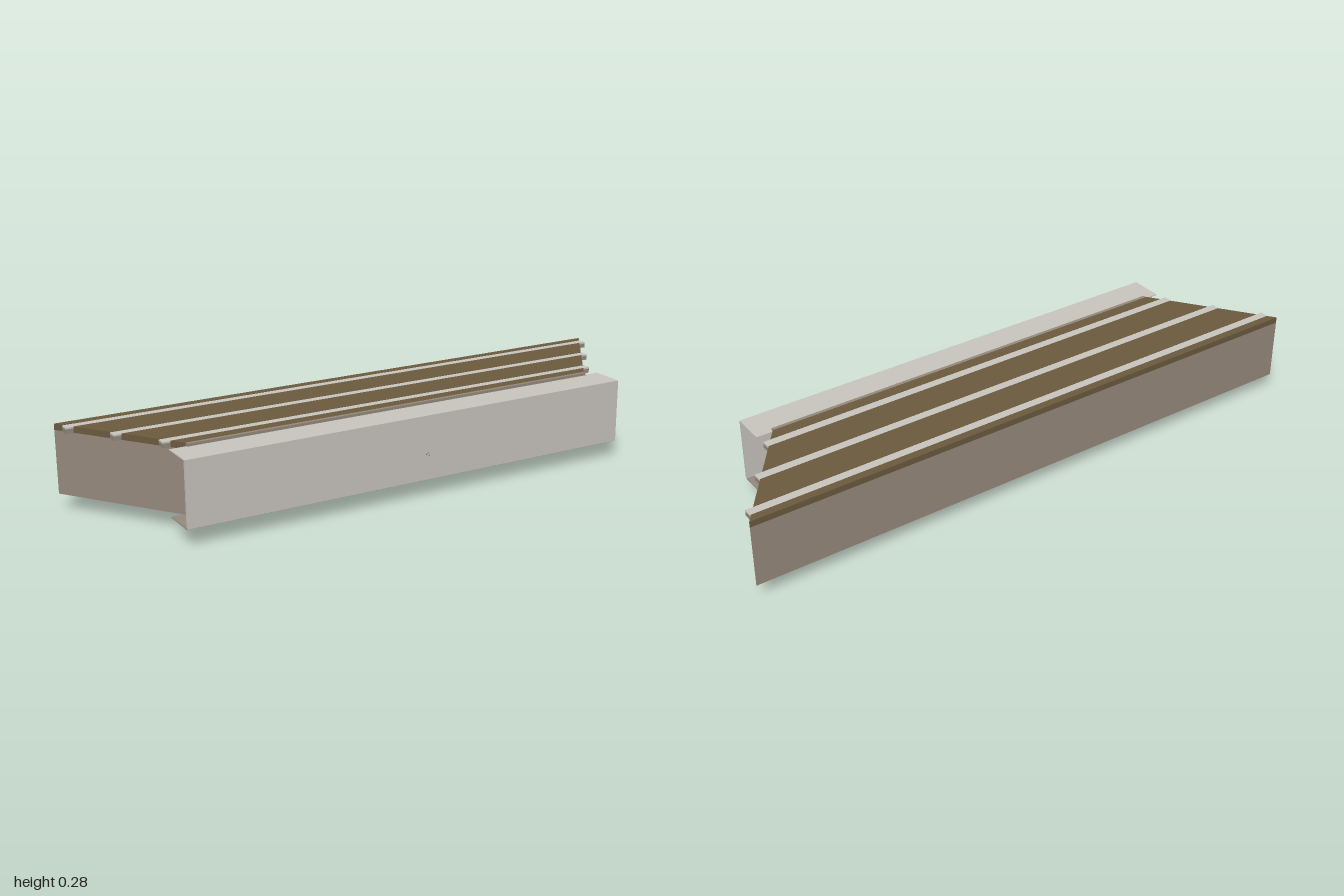
import * as THREE from 'three';

const mat = (name, color, side = THREE.FrontSide) => {
  const m = new THREE.MeshStandardMaterial({ color, side });
  m.name = name;
  return m;
};

// half width of the tapered body at depth z
const BACK = -0.247, FRONT = 0.125;
const halfWidth = z => 0.73 + (FRONT - z) * 0.27 / (FRONT - BACK);

// trapezoid slab between two depths and two heights
function taperedSlab(zBack, zFront, y0, y1) {
  const b = halfWidth(zBack), f = halfWidth(zFront);
  const shape = new THREE.Shape([
    new THREE.Vector2(-f, -zFront), new THREE.Vector2(f, -zFront),
    new THREE.Vector2(b, -zBack), new THREE.Vector2(-b, -zBack)]);
  return new THREE.ExtrudeGeometry(shape, { depth: y1 - y0, bevelEnabled: false })
    .rotateX(-Math.PI / 2).translate(0, y0, 0);
}

// box given by its limits
function boxBetween(x0, x1, y0, y1, z0, z1) {
  return new THREE.BoxGeometry(x1 - x0, y1 - y0, z1 - z0)
    .translate((x0 + x1) / 2, (y0 + y1) / 2, (z0 + z1) / 2);
}

function seeded(seed) {
  return () => (seed = (seed * 16807) % 2147483647) / 2147483647;
}

export function createModel() {
  const group = new THREE.Group();
  const tan = mat('tan wall', 0x95897b);
  const wood = mat('brown wood', 0x6b5a3e);
  const pale = mat('pale panel', 0xc8c4be);
  const blue = mat('pale blue base', 0xb0c5c5);
  const bark = mat('dark bark', 0x3a3026);

  const add = (name, geometry, material, parent = group) => {
    const mesh = new THREE.Mesh(geometry, material);
    mesh.name = name;
    parent.add(mesh);
    return mesh;
  };

  // base and tapered body
  add('base', boxBetween(-0.66, 0.66, 0, 0.054, -0.186, 0.05), blue);
  add('body', taperedSlab(BACK, FRONT, 0.054, 0.26), tan);
  add('frontWall', boxBetween(-0.73, 0.73, 0.058, 0.28, 0.122, 0.134), tan);

  // wooden roof slats
  const slats = [[BACK, -0.22], [-0.19, -0.083], [-0.053, 0.053], [0.083, 0.122]];
  for (const [z0, z1] of slats) add('roofSlat', taperedSlab(z0, z1, 0.26, 0.28), wood);

  // pale strips between the slats
  for (let i = 0; i < 3; i++) {
    const z0 = slats[i][1], z1 = slats[i + 1][0];
    const w = halfWidth(z0) + 0.003;
    add('stripCore', boxBetween(-w, w, 0.26, 0.274, z0, z1), tan);
    add('stripTop', boxBetween(-w, w, 0.274, 0.279, z0, z1), pale);
  }

  // front display channel, open at both ends
  add('frontPanel', boxBetween(-0.785, 0.785, 0.06, 0.271, 0.232, 0.24), pale);
  add('channelTop', boxBetween(-0.785, 0.785, 0.268, 0.271, 0.128, 0.234), pale);
  add('channelFloor', boxBetween(-0.785, 0.785, 0.057, 0.06, 0.123, 0.234), tan);

  // small potted tree in the channel
  const tree = new THREE.Group();
  tree.name = 'pottedTree';
  tree.position.set(0.02, 0.06, 0.202);
  group.add(tree);
  add('pot', boxBetween(-0.013, 0.013, 0, 0.011, -0.013, 0.013), tan, tree);
  const random = seeded(77);
  const up = new THREE.Vector3(0, 1, 0);
  const branch = (start, direction, length, radius, level) => {
    const end = start.clone().addScaledVector(direction, length);
    const mesh = add('branch', new THREE.CylinderGeometry(radius * 0.65, radius, length, 4, 1), bark, tree);
    mesh.position.copy(start).lerp(end, 0.5);
    mesh.quaternion.setFromUnitVectors(up, direction);
    if (level === 0) return;
    for (let i = 0; i < 3; i++) {
      const next = direction.clone().add(new THREE.Vector3(
        random() - 0.5, random() * 0.4, random() - 0.5).multiplyScalar(1.1)).normalize();
      branch(end, next, length * (0.6 + random() * 0.2), radius * 0.6, level - 1);
    }
  };
  for (let i = 0; i < 5; i++) {
    const a = i * Math.PI * 0.4;
    const lean = new THREE.Vector3(Math.cos(a) * 0.22, 1, Math.sin(a) * 0.22).normalize();
    branch(new THREE.Vector3(Math.cos(a) * 0.003, 0.01, Math.sin(a) * 0.003), lean, 0.035, 0.003, 3);
  }
  // stray twig reaching through the panel
  const twig = new THREE.CatmullRomCurve3([
    new THREE.Vector3(0, 0.045, 0.005), new THREE.Vector3(0.008, 0.065, 0.022),
    new THREE.Vector3(0.015, 0.083, 0.042)]);
  add('strayTwig', new THREE.TubeGeometry(twig, 6, 0.0012, 4), bark, tree);

  return group;
}
